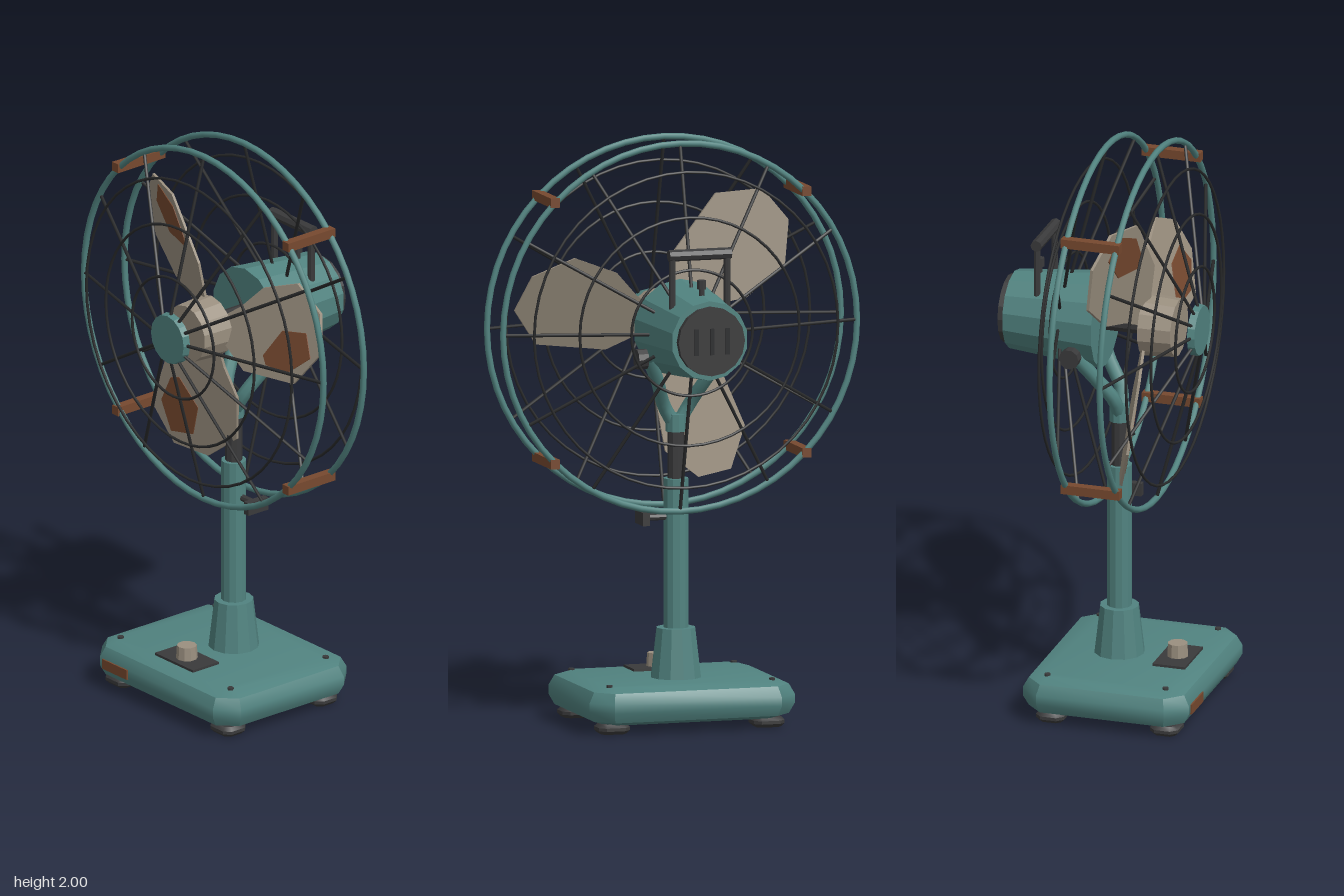
import * as THREE from 'three';
import { toCreasedNormals } from 'three/addons/utils/BufferGeometryUtils.js';

const V = (x, y, z) => new THREE.Vector3(x, y, z);
const AXIS_Y = 1.36; // height of the motor axis

export function createModel() {
  const model = new THREE.Group();
  model.name = 'deskFan';
  const paint = (name, color) => {
    const m = new THREE.MeshStandardMaterial({ color });
    m.name = name;
    return m;
  };
  const teal = paint('tealEnamel', 0x518380);
  const dark = paint('darkPlastic', 0x3a3a3b);
  const wire = paint('blackWire', 0x292a2b);
  const cream = paint('agedCream', 0x9a8f7f);
  const rust = paint('rustBrown', 0x77492f);

  const add = (name, geometry, material, x = 0, y = 0, z = 0, parent = model) => {
    const mesh = new THREE.Mesh(geometry, material);
    mesh.name = name;
    mesh.position.set(x, y, z);
    parent.add(mesh);
    return mesh;
  };
  const flat = (g) => toCreasedNormals(g, 0.35);
  // upright faceted cylinder; alongZ turns its top end to the front
  const cyl = (top, bottom, h, sides = 12) => flat(new THREE.CylinderGeometry(top, bottom, h, sides));
  const alongZ = (g) => g.rotateX(Math.PI / 2);
  const alongX = (g) => g.rotateZ(-Math.PI / 2);
  // straight rod between two points
  const rod = (a, b, r, sides = 6) => {
    const d = b.clone().sub(a);
    const g = new THREE.CylinderGeometry(r, r, d.length(), sides);
    g.applyQuaternion(new THREE.Quaternion().setFromUnitVectors(V(0, 1, 0), d.clone().normalize()));
    const m = a.clone().add(b).multiplyScalar(0.5);
    return g.translate(m.x, m.y, m.z);
  };
  // bevelled slab with cut corners, standing on y = 0
  const slab = (w, d, h, cut, bevel, rise, segments) => {
    const a = w / 2 - bevel, b = d / 2 - bevel;
    const shape = new THREE.Shape([
      [a - cut, -b], [a, -b + cut], [a, b - cut], [a - cut, b],
      [-a + cut, b], [-a, b - cut], [-a, -b + cut], [-a + cut, -b],
    ].map(([x, y]) => new THREE.Vector2(x, y)));
    const g = new THREE.ExtrudeGeometry(shape, {
      depth: h - 2 * rise, bevelSize: bevel, bevelThickness: rise, bevelSegments: segments,
    });
    return toCreasedNormals(g.translate(0, 0, rise).rotateX(-Math.PI / 2), 0.6);
  };

  // Base, feet and screws
  add('base', slab(0.73, 0.59, 0.13, 0.03, 0.065, 0.05, 2), teal, 0, 0.03, 0.075);
  for (const x of [-0.275, 0.275]) {
    for (const z of [-0.12, 0.285]) add('foot', slab(0.11, 0.1, 0.035, 0.015, 0.012, 0.012, 1), dark, x, 0, z);
    for (const z of [-0.135, 0.285]) add('baseScrew', cyl(0.011, 0.011, 0.008, 8), dark, x * 1.05, 0.162, z);
  }
  add('frontBadge', new THREE.BoxGeometry(0.13, 0.035, 0.009), rust, -0.215, 0.092, 0.371);
  add('controlPlate', new THREE.BoxGeometry(0.2, 0.009, 0.115), dark, 0, 0.164, 0.235);
  add('controlKnob', cyl(0.034, 0.037, 0.047, 10), cream, 0, 0.191, 0.235);

  // Column
  const cz = 0.028;
  add('columnSocket', cyl(0.067, 0.087, 0.17), teal, 0, 0.245, cz);
  add('column', cyl(0.043, 0.043, 0.52), teal, 0, 0.58, cz);
  add('innerPole', cyl(0.029, 0.029, 0.2, 10), dark, 0, 0.93, cz);
  add('clampScrew', alongX(cyl(0.012, 0.012, 0.08, 8)), dark, 0.075, 0.71, cz - 0.005);
  add('clampKnob', new THREE.BoxGeometry(0.025, 0.045, 0.088), dark, 0.118, 0.708, cz);

  // Yoke arms with tilt knobs
  add('yokeSocket', cyl(0.036, 0.036, 0.06, 10), teal, 0, 1.03, cz);
  for (const s of [-1, 1]) {
    const path = new THREE.CatmullRomCurve3([
      V(0.005 * s, 1.02, cz), V(0.045 * s, 1.09, 0.022), V(0.085 * s, 1.18, -0.035), V(0.135 * s, 1.27, -0.09),
    ]);
    add('yokeArm', new THREE.TubeGeometry(path, 10, 0.024, 8), teal);
    add('tiltKnob', alongX(cyl(0.035, 0.035, 0.035, 10)), dark, 0.163 * s, 1.27, -0.095);
  }

  // Motor housing, back cap and vents
  add('motorHousing', alongZ(cyl(0.167, 0.136, 0.325, 14)), teal, 0, AXIS_Y, -0.183);
  add('backCap', alongZ(cyl(0.118, 0.118, 0.03, 16)), dark, 0, AXIS_Y, -0.353);
  for (const x of [-0.055, 0, 0.055]) {
    add('backVent', new THREE.BoxGeometry(0.014, 0.09, 0.008), wire, x, AXIS_Y, -0.369);
  }
  add('motorShaft', alongZ(cyl(0.037, 0.037, 0.17, 10)), dark, 0, AXIS_Y, 0.055);

  // Carrying handle and swing knob
  add('handleGrip', alongX(cyl(0.02, 0.02, 0.22, 8)), dark, 0, 1.64, -0.233);
  for (const x of [-0.097, 0.097]) add('handlePost', cyl(0.012, 0.012, 0.19, 8), dark, x, 1.545, -0.233);
  add('swingKnobStem', cyl(0.01, 0.01, 0.06, 8), dark, 0, 1.51, -0.255);
  add('swingKnob', cyl(0.016, 0.016, 0.03, 8), dark, 0, 1.54, -0.255);

  // Hub and three pitched blades
  add('hub', alongZ(cyl(0.1, 0.107, 0.115, 14)), cream, 0, AXIS_Y, 0.182);
  const pitchedPlate = (points, thickness, lift) => {
    const g = new THREE.ExtrudeGeometry(
      new THREE.Shape(points.map(([x, y]) => new THREE.Vector2(x, y))),
      { depth: thickness, bevelEnabled: false });
    const p = g.attributes.position;
    for (let i = 0; i < p.count; i++) p.setZ(i, p.getZ(i) + 0.121 + lift - 0.35 * p.getY(i));
    g.computeVertexNormals();
    return g;
  };
  const blade = pitchedPlate([
    [0.04, -0.02], [0.11, -0.045], [0.21, -0.09], [0.46, -0.06], [0.55, 0.065],
    [0.5, 0.185], [0.355, 0.245], [0.2, 0.185], [0.12, 0.1], [0.04, 0.04],
  ], 0.01, 0);
  const patch = pitchedPlate([
    [0.285, -0.015], [0.31, -0.04], [0.42, -0.035], [0.51, 0.04], [0.46, 0.11], [0.345, 0.085],
  ], 0.004, 0.009);
  for (let i = 0; i < 3; i++) {
    const arm = new THREE.Group();
    arm.name = 'bladeAssembly';
    arm.position.y = AXIS_Y;
    arm.rotation.z = (i * Math.PI * 2) / 3;
    add('blade', blade, cream, 0, 0, 0, arm);
    add('bladePatch', patch, rust, 0, 0, 0, arm);
    model.add(arm);
  }

  // Wire cage: rims, rings and straight spokes, front and back
  const cage = new THREE.Group();
  cage.name = 'cage';
  cage.position.y = AXIS_Y;
  model.add(cage);
  const halves = [
    { name: 'front', rim: 0.16, rings: [[0.54, 0.225], [0.39, 0.265], [0.215, 0.296]], inner: [0.07, 0.31] },
    { name: 'back', rim: -0.018, rings: [[0.54, -0.085], [0.39, -0.123], [0.215, -0.15]], inner: [0.13, -0.148] },
  ];
  for (const { name, rim, rings, inner } of halves) {
    add(name + 'Rim', new THREE.TorusGeometry(0.629, 0.011, 8, 56), teal, 0, 0, rim, cage);
    for (const [r, z] of rings) {
      add(name + 'Ring', new THREE.TorusGeometry(r, 0.005, 6, 48), wire, 0, 0, z, cage);
    }
    for (let i = 0; i < 12; i++) {
      const a = (i * Math.PI) / 6, c = Math.cos(a), s = Math.sin(a);
      add(name + 'Spoke', rod(V(0.627 * c, 0.627 * s, rim), V(inner[0] * c, inner[0] * s, inner[1]), 0.006), wire, 0, 0, 0, cage);
    }
  }
  add('frontCap', alongZ(cyl(0.086, 0.09, 0.025, 16)), teal, 0, 0, 0.309, cage);

  // Clips joining both rims
  for (const x of [-0.447, 0.447]) {
    for (const y of [-0.447, 0.447]) {
      add('rimClip', new THREE.BoxGeometry(0.032, 0.032, 0.208), rust, x, y, 0.072, cage);
    }
  }
  return model;
}
